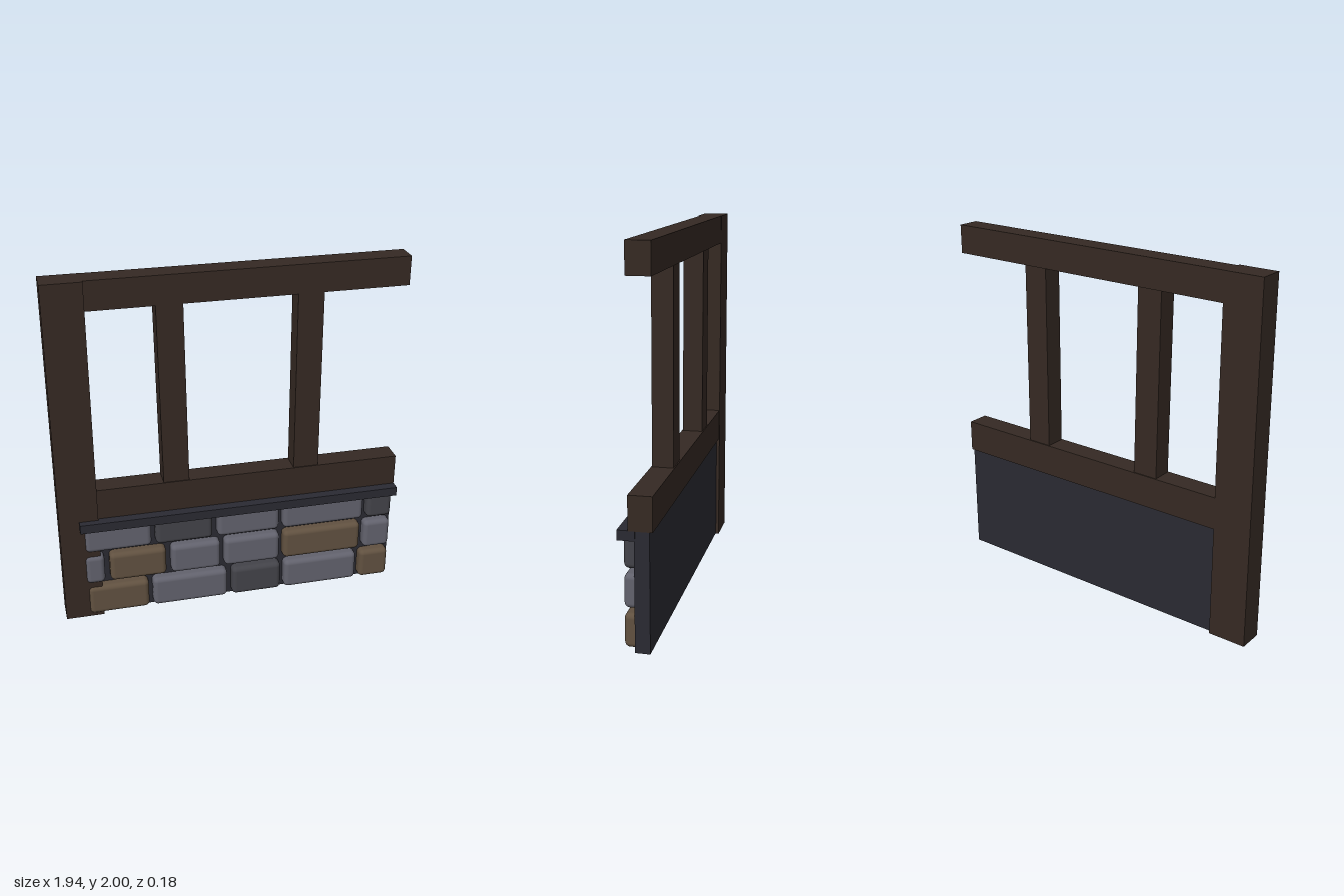
import * as THREE from 'three';
import { RoundedBoxGeometry } from 'three/addons/geometries/RoundedBoxGeometry.js';

const material = (color) => new THREE.MeshStandardMaterial({ color });

export function createModel() {
  const model = new THREE.Group();
  model.name = 'timberFrameWall';
  const wood = material(0x352923);
  const mortar = material(0x2a2a32);
  const stoneMaterials = {
    grey: material(0x62626d),
    dark: material(0x434349),
    brown: material(0x615140),
  };

  // Box given by its extents on each axis
  function block(name, [x0, x1], [y0, y1], [z0, z1], mat, parent = model, radius = 0) {
    const size = [x1 - x0, y1 - y0, z1 - z0];
    const geometry = radius
      ? new RoundedBoxGeometry(...size, 4, radius)
      : new THREE.BoxGeometry(...size);
    const mesh = new THREE.Mesh(geometry, mat);
    mesh.name = name;
    mesh.position.set((x0 + x1) / 2, (y0 + y1) / 2, (z0 + z1) / 2);
    parent.add(mesh);
    return mesh;
  }

  // Timber frame
  block('cornerPost', [-0.97, -0.755], [0, 2], [-0.09, 0.05], wood);
  block('topBeam', [-0.755, 0.97], [1.84, 2], [-0.088, 0.035], wood);
  block('middleBeam', [-0.755, 0.97], [0.63, 0.81], [-0.088, 0.035], wood);

  // Studs, slightly out of plumb; ends are buried in the beams
  const studZ = [-0.082, 0.03];
  block('leftStud', [-0.389, -0.246], [0.78, 1.87], studZ, wood).rotation.z = 0.013;
  block('rightStud', [0.358, 0.5], [0.78, 1.87], studZ, wood).rotation.z = 0.002;

  // Masonry infill and its ledge
  block('mortarPanel', [-0.76, 0.968], [0.003, 0.63], [-0.072, 0.005], mortar);
  block('stoneLedge', [-0.86, 0.97], [0.58, 0.632], [0, 0.09], mortar);

  // Stone courses: [left, right, shade]
  const courses = [
    { y: [0.018, 0.197], stones: [
      [-0.835, -0.49, 'brown'], [-0.465, -0.03, 'grey'], [0, 0.29, 'dark'],
      [0.315, 0.755, 'grey'], [0.78, 0.955, 'brown']] },
    { y: [0.225, 0.402], stones: [
      [-0.842, -0.735, 'grey'], [-0.705, -0.385, 'brown'], [-0.355, -0.07, 'grey'],
      [-0.045, 0.28, 'grey'], [0.305, 0.77, 'brown'], [0.795, 0.955, 'grey']] },
    { y: [0.43, 0.6], stones: [
      [-0.837, -0.465, 'grey'], [-0.44, -0.115, 'dark'], [-0.085, 0.275, 'grey'],
      [0.3, 0.78, 'grey'], [0.805, 0.955, 'dark']] },
  ];
  const stonework = new THREE.Group();
  stonework.name = 'stonework';
  model.add(stonework);
  courses.forEach(({ y, stones }, row) => {
    stones.forEach(([x0, x1, shade], i) => {
      block(`stone${row + 1}_${i + 1}`, [x0, x1], y, [-0.035, 0.064],
        stoneMaterials[shade], stonework, 0.027);
    });
  });

  return model;
}
